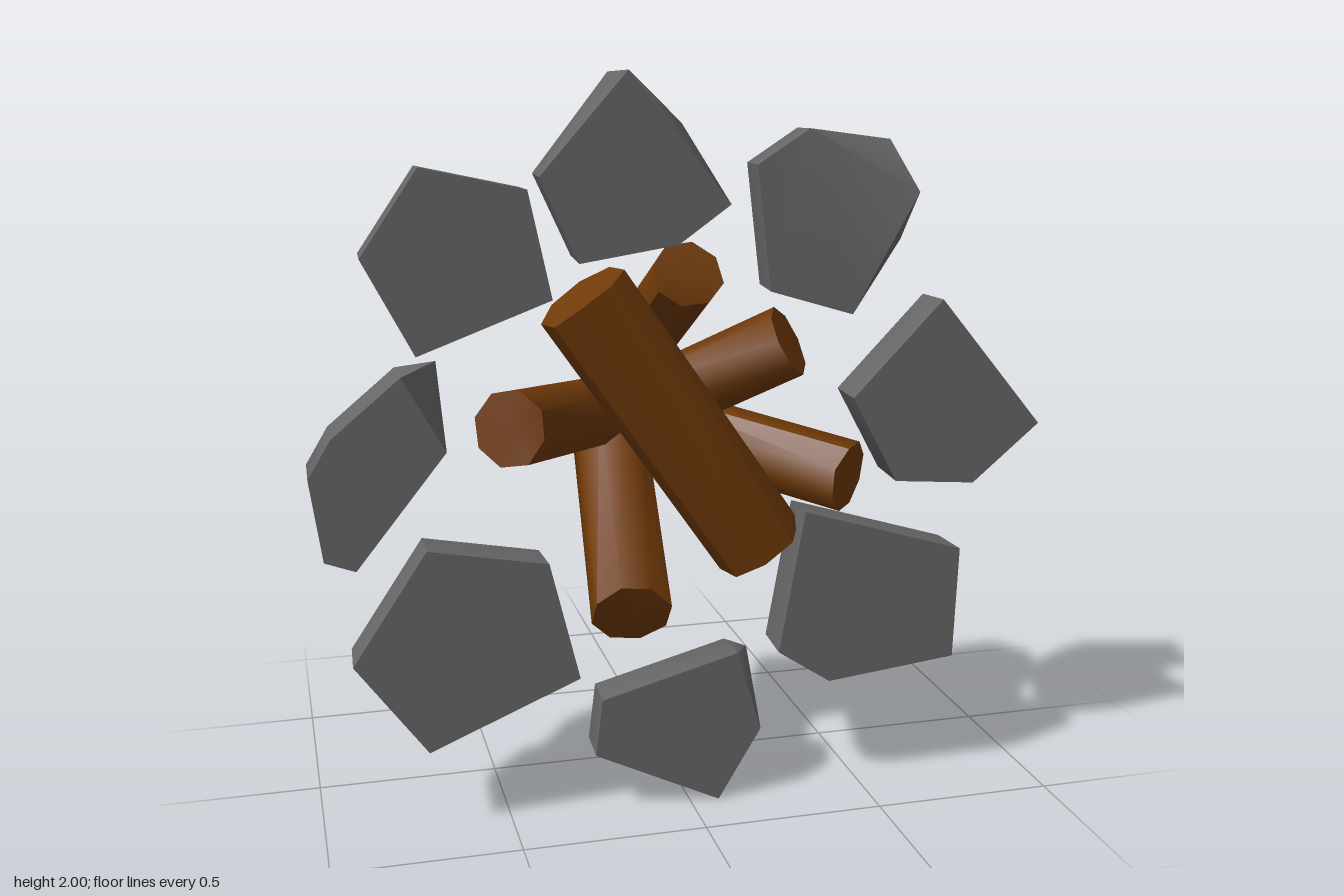
import * as THREE from 'three';
import { ConvexGeometry } from 'three/addons/geometries/ConvexGeometry.js';
import { toCreasedNormals } from 'three/addons/utils/BufferGeometryUtils.js';

const GROUND = 0.345; // plane of the flat undersides
const stoneMaterial = new THREE.MeshStandardMaterial({ color: 0x686868 });
const woodMaterial = new THREE.MeshStandardMaterial({ color: 0x703a08 });

// Flat-based boulder: outline on the ground plane, steep sides, blunt top through the peaks
function createStone(outline, ...peaks) {
  const [px, py, pz] = peaks[0];
  const points = peaks.map((p) => new THREE.Vector3(...p));
  for (const [scale, rise] of [[1, 0], [0.98, 0.4], [0.58, 0.82]]) {
    for (const [x, y] of outline) {
      points.push(new THREE.Vector3(
        px + (x - px) * scale, py + (y - py) * scale, GROUND - (GROUND - pz) * rise));
    }
  }
  const mesh = new THREE.Mesh(toCreasedNormals(new ConvexGeometry(points), 1.0), stoneMaterial);
  mesh.name = 'stone';
  return mesh;
}

// Eight-sided log between two points, cut off flat at the ground plane
function createLog(from, to, radius) {
  const a = new THREE.Vector3(...from);
  const b = new THREE.Vector3(...to);
  const dir = b.clone().sub(a);
  const geometry = new THREE.CylinderGeometry(radius, radius, dir.length(), 8);
  geometry.rotateY(Math.PI / 8);
  geometry.applyQuaternion(new THREE.Quaternion().setFromUnitVectors(
    new THREE.Vector3(0, 1, 0), dir.clone().normalize()));
  const mid = a.add(b).multiplyScalar(0.5);
  geometry.translate(mid.x, mid.y, mid.z);
  const p = geometry.attributes.position;
  for (let i = 0; i < p.count; i++) p.setZ(i, Math.min(p.getZ(i), GROUND));
  const mesh = new THREE.Mesh(toCreasedNormals(geometry, 0.85), woodMaterial);
  mesh.name = 'log';
  return mesh;
}

export function createModel() {
  const model = new THREE.Group();
  model.name = 'campfire';

  // Ring of stones: ground outline, then main peak and any shoulder
  const stones = new THREE.Group();
  stones.name = 'stoneRing';
  stones.add(
    createStone([[-0.17, 2], [0.1, 1.66], [-0.04, 1.56], [-0.3, 1.52], [-0.4, 1.74]],
      [-0.07, 1.68, 0], [0.01, 1.86, 0.18], [-0.17, 1.99, 0.1]),
    createStone([[0.17, 1.76], [0.31, 1.85], [0.62, 1.68], [0.44, 1.36], [0.21, 1.43]],
      [0.4, 1.64, 0.07], [0.59, 1.81, 0.2], [0.62, 1.54, 0.22]),
    createStone([[0.7, 1.39], [1, 1.03], [0.81, 0.87], [0.58, 0.89], [0.45, 1.13]],
      [0.82, 1.05, -0.02], [0.56, 1.08, 0.03]),
    createStone([[0.32, 0.82], [0.78, 0.68], [0.77, 0.36], [0.4, 0.32], [0.25, 0.42]],
      [0.54, 0.57, 0], [0.6, 0.37, 0.02]),
    createStone([[-0.25, 0.33], [0.13, 0.43], [0.2, 0.2], [0.08, 0], [-0.27, 0.17]],
      [0.03, 0.22, 0.03], [0.2, 0.39, 0.2]),
    createStone([[-0.71, 0.79], [-0.39, 0.73], [-0.31, 0.4], [-0.72, 0.23], [-0.91, 0.49]],
      [-0.61, 0.53, 0]),
    createStone([[-0.76, 1.25], [-0.65, 1.05], [-0.89, 0.75], [-0.97, 0.78], [-1, 1], [-0.94, 1.1]],
      [-0.85, 1.04, -0.05], [-0.65, 1.25, 0.15]),
    createStone([[-0.7, 1.77], [-0.43, 1.71], [-0.37, 1.43], [-0.72, 1.3], [-0.85, 1.55]],
      [-0.6, 1.55, 0.04]),
  );
  model.add(stones);

  // Logs leaning together
  const logs = new THREE.Group();
  logs.name = 'logPile';
  logs.add(
    createLog([-0.01, 1.48, 0.33], [-0.07, 1.09, -0.29], 0.097),
    createLog([-0.16, 0.555, 0.31], [-0.09, 0.945, -0.29], 0.112),
    createLog([-0.48, 1.09, 0.3], [-0.13, 1.01, -0.2], 0.105),
    createLog([0.46, 0.9, 0.3], [-0.02, 1, -0.13], 0.1),
    createLog([0.29, 1.28, 0.26], [-0.1, 1.05, 0.03], 0.1),
  );
  // Log lying on the ground
  logs.add(createLog([-0.28, 1.425, 0.28], [0.225, 0.7, 0.23], 0.13));
  model.add(logs);
  return model;
}
